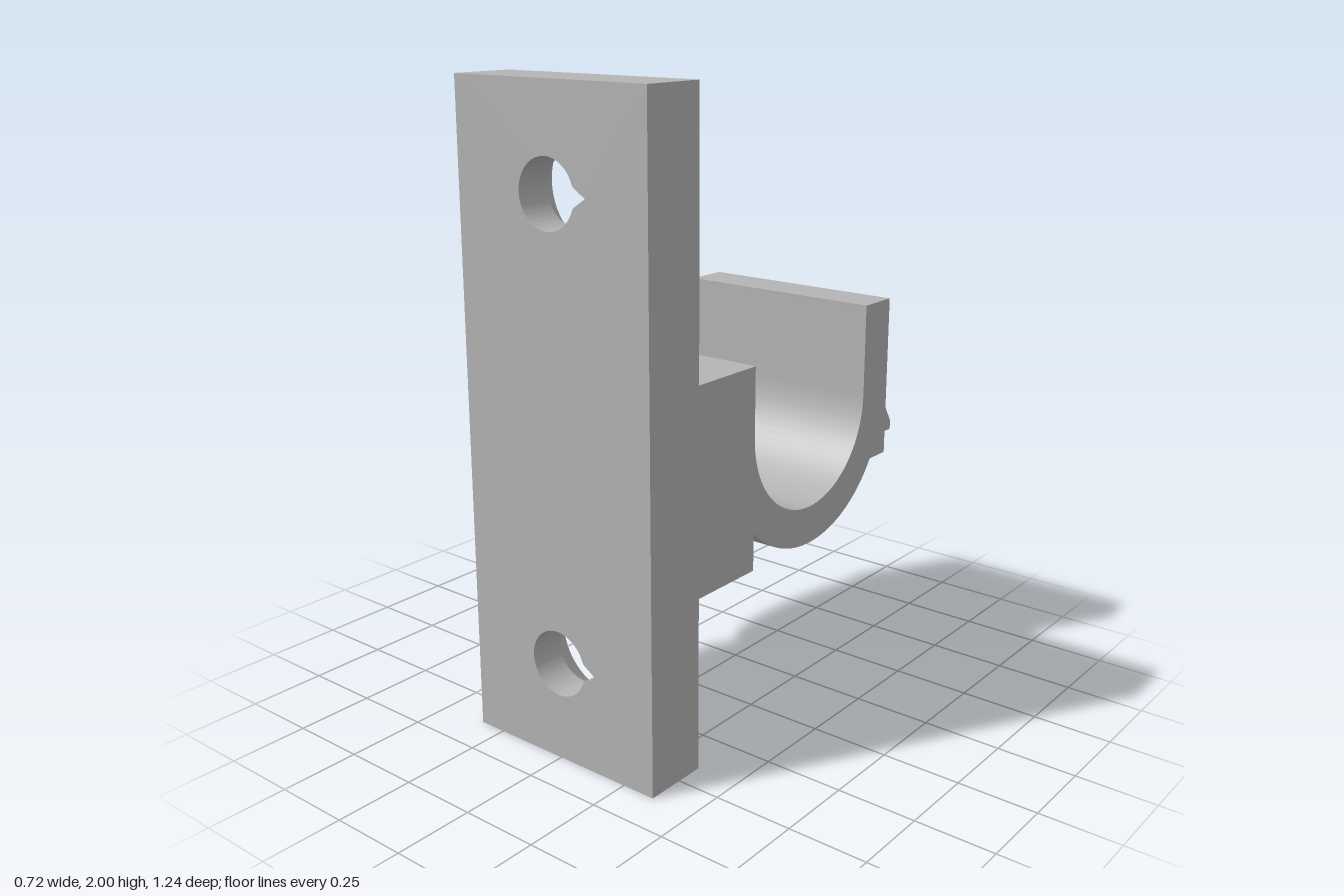
import * as THREE from 'three';
import { toCreasedNormals } from 'three/addons/utils/BufferGeometryUtils.js';

const V = (a, b) => new THREE.Vector2(a, b);
const CHAMFER = 0.02, XR = -0.36, XL = 0.36;
const FRONT = 0.62, BACK = 0.41;
const HOLES_Y = [0.31, 1.695], SINK_R = 0.18, BORE_R = 0.102, SINK_Z = 0.51;

// Points on an arc, from angle a0 to a1
function arc(cx, cy, r, a0, a1, n) {
  return Array.from({ length: n + 1 }, (_, i) => {
    const a = a0 + (a1 - a0) * i / n;
    return V(cx + r * Math.cos(a), cy + r * Math.sin(a));
  });
}

// Collects triangles and turns them into a smooth-but-creased geometry
class Builder {
  pos = [];
  tri(...pts) { for (const p of pts) this.pos.push(...p); }
  quad(a, b, c, d) { this.tri(a, b, c); this.tri(a, c, d); }
  // Flat face with holes; contour runs counterclockwise, holes clockwise
  face(contour, holes, map, flip) {
    const all = [contour, ...holes].flat().map(map);
    for (const [a, b, c] of THREE.ShapeUtils.triangulateShape(contour, holes)) {
      if (flip) this.tri(all[a], all[c], all[b]);
      else this.tri(all[a], all[b], all[c]);
    }
  }
  // Walls between two equal loops
  walls(lo, hi, skip = []) {
    lo.forEach((p, i) => {
      const j = (i + 1) % lo.length;
      if (!skip.includes(i)) this.quad(p, hi[i], hi[j], lo[j]);
    });
  }
  mesh(name, material) {
    const g = new THREE.BufferGeometry();
    g.setAttribute('position', new THREE.Float32BufferAttribute(this.pos, 3));
    const m = new THREE.Mesh(toCreasedNormals(g, 0.45), material);
    m.name = name;
    return m;
  }
}

// Moves every edge of a counterclockwise loop inwards
function inset(pts, d) {
  const n = pts.length;
  return pts.map((p, i) => {
    const e1 = p.clone().sub(pts[(i + n - 1) % n]).normalize();
    const e2 = pts[(i + 1) % n].clone().sub(p).normalize();
    const n1 = V(-e1.y, e1.x), n2 = V(-e2.y, e2.x);
    return p.clone().addScaledVector(n1.clone().add(n2), d / (1 + n1.dot(n2)));
  });
}

// Extrudes a (z, y) profile along x with a chamfer at the low end
function prism(profile, x0, x1, holes = [], skip = []) {
  const b = new Builder();
  const at = x => p => [x, p.y, p.x];
  const small = inset(profile, CHAMFER);
  b.face(small, holes, at(x0), false);
  b.face(profile, holes, at(x1), true);
  b.walls(small.map(at(x0)), profile.map(at(x0 + CHAMFER)));
  b.walls(profile.map(at(x0 + CHAMFER)), profile.map(at(x1)), skip);
  for (const h of holes) b.walls(h.map(at(x0)), h.map(at(x1)));
  return b;
}

// Loop of a screw hole at depth z: bore or cone, with a pointed notch towards +x
function screwLoop(y, z) {
  const n = 96;
  const cone = BORE_R + (SINK_R - BORE_R) * Math.max(0, (SINK_Z - z) / (SINK_Z - BACK));
  return Array.from({ length: n }, (_, i) => {
    const a = (i > n / 2 ? i - n : i) * 2 * Math.PI / n;
    const notch = Math.abs(a) < 0.5 ? 0.143 / (Math.cos(a) + 1.54 * Math.abs(Math.sin(a))) : 0;
    const r = Math.max(cone, notch);
    return V(r * Math.cos(a), y + r * Math.sin(a));
  });
}

export function createModel() {
  const group = new THREE.Group();
  const grey = new THREE.MeshStandardMaterial({ color: 0xb4b4b4 });
  grey.name = 'grey plastic';

  // Back plate, cradle and front lip as one side profile
  const profile = [
    V(FRONT, 0), V(FRONT, 2), V(BACK, 2), V(BACK, 1.18), V(0.148, 1.18),
    ...arc(-0.148, 0.96, 0.296, 0, -Math.PI, 36),
    V(-0.444, 1.255), V(-0.585, 1.255), V(-0.585, 0.886),
    V(-0.618, 0.833), V(-0.618, 0.803), V(-0.585, 0.803), V(-0.585, 0.73),
    ...arc(-0.148, 0.96, 0.418, Math.PI + Math.asin(0.23 / 0.418), 1.75 * Math.PI, 28),
    V(0.148, 0.545), V(BACK, 0.545), V(BACK, 0),
  ];
  // The three plate faces that carry screw holes are left open here
  group.add(prism(profile, XR, XL, [], [0, 2, profile.length - 2]).mesh('cradleBody', grey));

  // Plate faces around the screw holes
  const faces = new Builder();
  const plateFace = (y0, y1, z, holes) => {
    const x0 = XR + CHAMFER;
    faces.face([V(x0, y0), V(XL, y0), V(XL, y1), V(x0, y1)],
      holes.map(y => screwLoop(y, z).reverse()), p => [p.x, p.y, z], z === BACK);
  };
  plateFace(0, 2, FRONT, HOLES_Y);
  plateFace(0, 0.545, BACK, [HOLES_Y[0]]);
  plateFace(1.18, 2, BACK, [HOLES_Y[1]]);
  group.add(faces.mesh('plateFaces', grey));

  // Countersunk screw holes
  for (const y of HOLES_Y) {
    const hole = new Builder();
    const depths = [FRONT, ...Array.from({ length: 9 }, (_, i) => SINK_Z + (BACK - SINK_Z) * i / 8)];
    const loops = depths.map(z => screwLoop(y, z).map(p => [p.x, p.y, z]));
    for (let k = 0; k + 1 < loops.length; k++) {
      // Back loop first so the wall faces the hole axis
      loops[k].forEach((a, i) => {
        const j = (i + 1) % loops[k].length;
        hole.quad(a, loops[k][j], loops[k + 1][j], loops[k + 1][i]);
      });
    }
    group.add(hole.mesh('countersunkHole', grey));
  }

  // Hinge knuckle with pin hole, rooted in the plate
  const a = Math.acos(-0.082 / 0.135);
  const hinge = [
    V(0.48, 1.1), V(0.48, 1.462), V(0.183, 1.462),
    ...arc(0.265, 1.33, 0.135, a, 2 * Math.PI - a, 18),
    V(0.183, 1.1),
  ];
  const pin = arc(0.265, 1.33, 0.048, 2 * Math.PI, 0, 32).slice(0, -1);
  group.add(prism(hinge, XR, 0, [pin]).mesh('hingeKnuckle', grey));

  return group;
}
